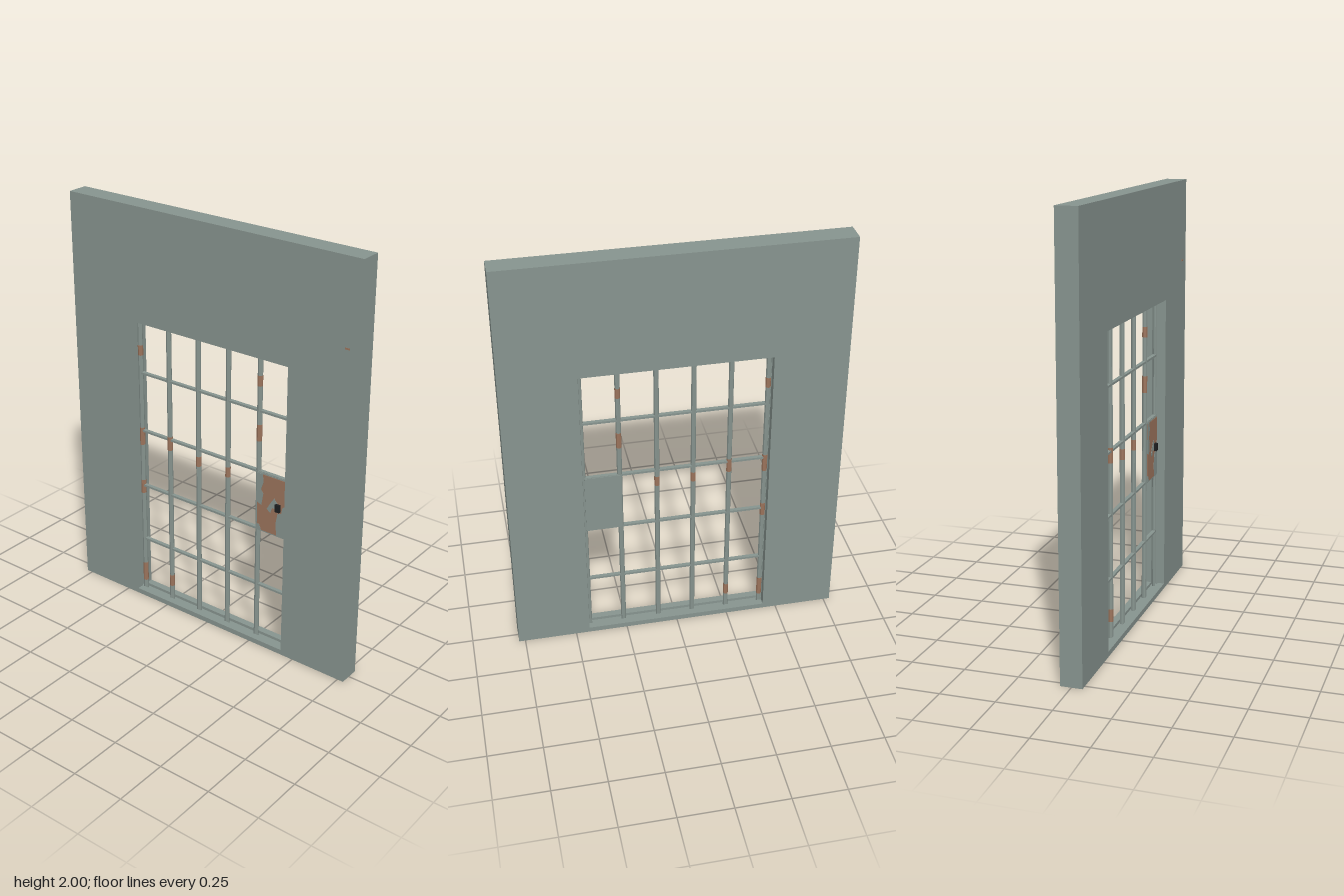
import * as THREE from 'three';

const mat = (name, color) => {
  const m = new THREE.MeshStandardMaterial({ color });
  m.name = name;
  return m;
};

export function createModel() {
  const paint = mat('greyGreenPaint', 0x87948f);
  const rust = mat('rust', 0x9c745c);
  const dark = mat('darkIron', 0x1c1e1f);
  const root = new THREE.Group();
  root.name = 'barredSlidingGate';

  const add = (parent, name, geo, material, x, y, z) => {
    const mesh = new THREE.Mesh(geo, material);
    mesh.name = name;
    mesh.position.set(x, y, z);
    parent.add(mesh);
    return mesh;
  };
  const box = (parent, name, w, h, d, material, x, y, z) =>
    add(parent, name, new THREE.BoxGeometry(w, h, d), material, x, y, z);
  const rectPoints = (x0, x1, y0, y1) =>
    [[x0, y0], [x1, y0], [x1, y1], [x0, y1]].map(p => new THREE.Vector2(...p));

  // Wall in three layers; the wider middle opening makes the guide channel
  const wall = new THREE.Group();
  wall.name = 'wall';
  root.add(wall);
  const layer = (name, z, depth, grow) => {
    const shape = new THREE.Shape(rectPoints(-0.78, 0.78, 0, 2));
    shape.holes.push(new THREE.Path(
      rectPoints(-0.435 - grow, 0.435 + grow, 0.025 - grow * 0.7, 1.455 + grow)));
    const geo = new THREE.ExtrudeGeometry(shape, { depth, bevelEnabled: false });
    add(wall, name, geo, paint, 0, 0, z);
  };
  layer('wallBack', -0.05, 0.033, 0);
  layer('wallCore', -0.017, 0.034, 0.02);
  layer('wallFront', 0.017, 0.033, 0);
  box(wall, 'rustSpot', 0.025, 0.008, 0.002, rust, 0.722, 1.61, 0.05);

  // Gate: upright bars joined by flat crossbars
  const gate = new THREE.Group();
  gate.name = 'gate';
  root.add(gate);
  const bar = (name, r, length, material, x, y) => {
    const geo = new THREE.CylinderGeometry(r, r, length, 8).toNonIndexed();
    geo.computeVertexNormals();
    add(gate, name, geo, material, x, y, 0);
  };
  const barX = [-0.425, -0.255, -0.085, 0.085, 0.258];
  barX.forEach(x => bar('uprightBar', 0.012, 1.456, paint, x, 0.74));
  bar('closingBar', 0.008, 1.456, paint, 0.423, 0.74);
  for (const y of [0.3, 0.597, 0.89, 1.188])
    box(gate, 'crossbar', 0.85, 0.01, 0.018, paint, 0, y, 0);

  // Rust patches around the uprights: bar, height, length
  [[0, 0.86, 0.09], [0, 0.59, 0.07], [0, 0.11, 0.1], [0, 1.3, 0.05], [1, 0.87, 0.07],
    [2, 0.83, 0.05], [3, 0.83, 0.05], [4, 1.08, 0.08], [4, 1.33, 0.05], [1, 0.12, 0.06]]
    .forEach(([i, y, len]) => bar('rustPatch', 0.0126, len, rust, barX[i], y));

  // Lock plate with rust on its front
  const lock = new THREE.Group();
  lock.name = 'lock';
  gate.add(lock);
  box(lock, 'lockPlate', 0.168, 0.298, 0.024, paint, 0.338, 0.743, 0);
  box(lock, 'lockPlateRust', 0.156, 0.286, 0.003, rust, 0.339, 0.743, 0.0125);

  // Paint left on the rusty face
  const flake = pts => {
    const shape = new THREE.Shape(pts.map(p => new THREE.Vector2(...p)));
    add(lock, 'paintFlake', new THREE.ExtrudeGeometry(shape, { depth: 0.002, bevelEnabled: false }),
      paint, 0, 0, 0.013);
  };
  flake([[0.26, 0.74], [0.285, 0.73], [0.295, 0.79], [0.282, 0.81], [0.296, 0.85], [0.29, 0.888], [0.26, 0.888]]);
  flake([[0.37, 0.6], [0.42, 0.6], [0.42, 0.77], [0.4, 0.75], [0.395, 0.72], [0.375, 0.715], [0.365, 0.66]]);
  flake([[0.315, 0.72], [0.335, 0.705], [0.345, 0.735], [0.37, 0.73], [0.372, 0.765], [0.355, 0.785], [0.335, 0.755]]);
  flake([[0.26, 0.6], [0.285, 0.6], [0.275, 0.625], [0.26, 0.63]]);

  // Keyhole cover
  box(lock, 'keyholeCover', 0.024, 0.036, 0.014, dark, 0.378, 0.745, 0.02);
  return root;
}
